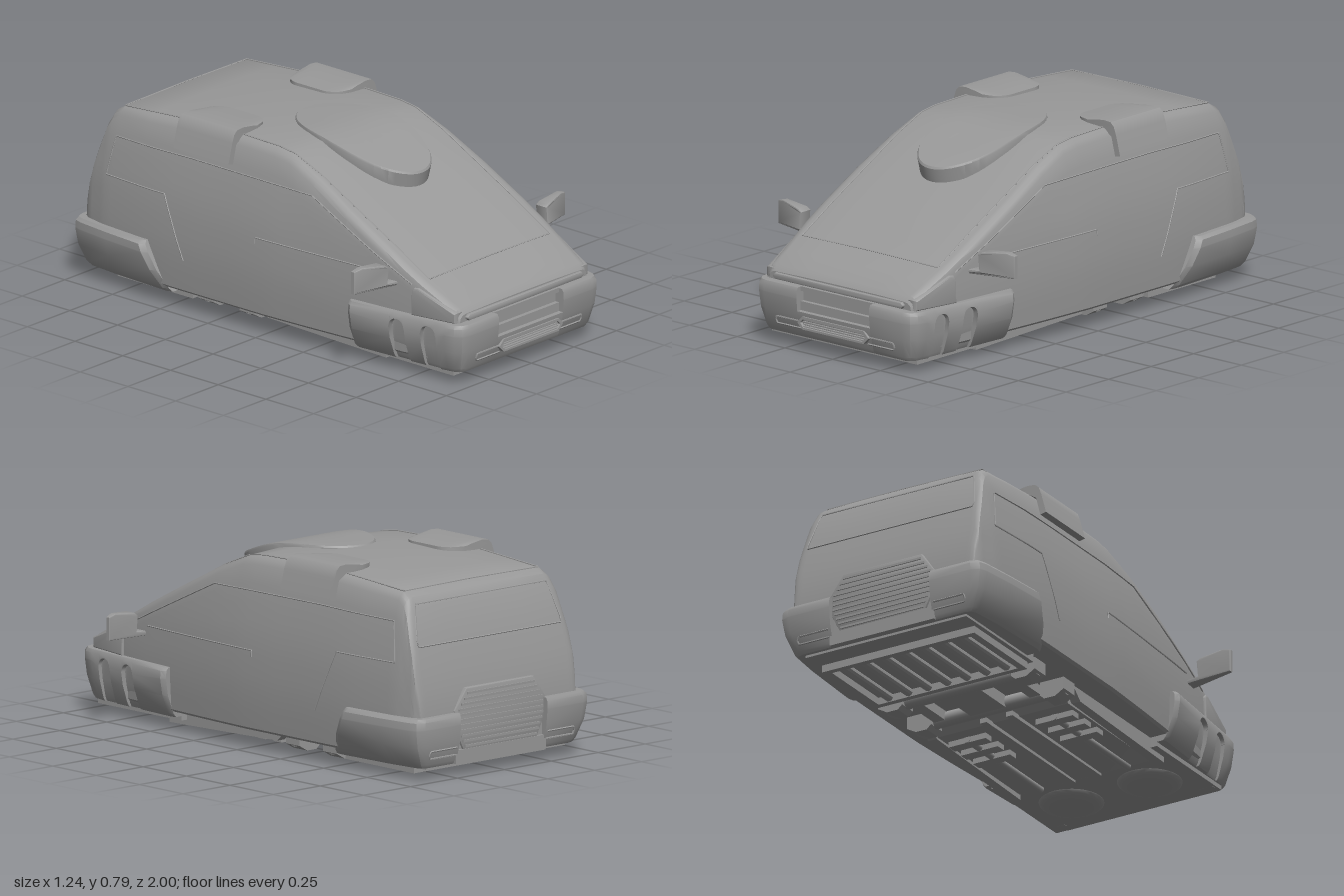
import * as THREE from 'three';
import { toCreasedNormals } from 'three/addons/utils/BufferGeometryUtils.js';

const material = new THREE.MeshStandardMaterial({ color: 0x999999, side: THREE.DoubleSide });

// Linear lookup in an ascending table of [key, value]
function look(table, v) {
  if (v <= table[0][0]) return table[0][1];
  for (let i = 1; i < table.length; i++) {
    const [k0, a] = table[i - 1], [k1, b] = table[i];
    if (v <= k1) return a + (b - a) * (v - k0) / (k1 - k0);
  }
  return table[table.length - 1][1];
}

// Body rules: roof edge height, roof crown and plan taper by z, half width by height
const ROOF = [[-0.968, 0.26], [-0.957, 0.36], [-0.92, 0.52], [-0.868, 0.68], [-0.845, 0.72], [-0.81, 0.741], [-0.48, 0.763],
  [-0.18, 0.77], [0, 0.766], [0.08, 0.755], [0.22, 0.697], [0.6, 0.5], [0.78, 0.4], [0.94, 0.317], [0.957, 0.295]];
const CROWN = [[-0.84, 0.003], [-0.48, 0.012], [0.05, 0.012], [0.3, 0.004]];
const PLAN = [[-0.968, 0.88], [-0.94, 0.92], [-0.85, 0.96], [-0.6, 1], [0, 1], [0.2, 0.98], [0.5, 0.94], [0.75, 0.89], [0.94, 0.83], [0.957, 0.8]];
const SIDE = [[0.05, 0.455], [0.2, 0.465], [0.3, 0.465], [0.45, 0.455], [0.62, 0.426], [0.72, 0.398], [0.79, 0.378]];
const roofY = z => look(ROOF, z);
const sideX = (y, z) => look(SIDE, y) * look(PLAN, z);
const rearZ = y => look(ROOF.slice(0, 6).map(([z, h]) => [h, z]), y);

// Skin between equal rings of Vector3, closed at both ends
function loft(rings) {
  const n = rings[0].length, pos = [], index = [];
  rings.forEach(r => r.forEach(p => pos.push(p.x, p.y, p.z)));
  for (let i = 0; i < rings.length - 1; i++) for (let j = 0; j < n; j++) {
    const a = i * n + j, b = i * n + (j + 1) % n;
    index.push(a, a + n, b, b, a + n, b + n);
  }
  [0, rings.length - 1].forEach((k, end) => {
    const c = new THREE.Vector3(), m = pos.length / 3;
    rings[k].forEach(p => c.addScaledVector(p, 1 / n));
    pos.push(c.x, c.y, c.z);
    for (let j = 0; j < n; j++) {
      const a = k * n + j, b = k * n + (j + 1) % n;
      end ? index.push(m, b, a) : index.push(m, a, b);
    }
  });
  const g = new THREE.BufferGeometry();
  g.setAttribute('position', new THREE.Float32BufferAttribute(pos, 3));
  g.setIndex(index);
  return g;
}

function mirrored(source) {
  const g = source.index ? source.toNonIndexed() : source.clone();
  g.scale(-1, 1, 1);
  const p = g.attributes.position, a = new THREE.Vector3(), b = new THREE.Vector3();
  for (let i = 0; i < p.count; i += 3) {
    a.fromBufferAttribute(p, i + 1); b.fromBufferAttribute(p, i + 2);
    p.setXYZ(i + 1, b.x, b.y, b.z); p.setXYZ(i + 2, a.x, a.y, a.z);
  }
  return g;
}

export function createModel() {
  const model = new THREE.Group();
  const add = (name, geo, crease = 0.6) => {
    const mesh = new THREE.Mesh(toCreasedNormals(geo, crease), material);
    mesh.name = name;
    model.add(mesh);
  };
  const pair = (name, geo) => {
    add(name + 'Left', geo);
    add(name + 'Right', mirrored(geo));
  };
  const V = (x, y, z) => new THREE.Vector3(x, y, z);
  const box = (x, y, z, w, h, d) => new THREE.BoxGeometry(w, h, d).translate(x, y, z);
  const polygon = pts => new THREE.Shape(pts.map(p => new THREE.Vector2(...p)));
  const slab = (pts, z, depth, bevel = 0) => new THREE.ExtrudeGeometry(polygon(pts), {
    depth, bevelEnabled: bevel > 0, bevelSize: bevel, bevelThickness: bevel, bevelOffset: -bevel, bevelSegments: 2 }).translate(0, 0, z);
  const tube = (pts, radius) => {
    const path = new THREE.CurvePath();
    for (let i = 1; i < pts.length; i++) path.add(new THREE.LineCurve3(pts[i - 1], pts[i]));
    return new THREE.TubeGeometry(path, pts.length * 12, radius, 5);
  };

  // Body shell, lofted from nose to tail
  const stations = [...ROOF.map(r => r[0]), 0.86, 0.7, 0.4, 0.14, -0.33, -0.65, -0.9, -0.94].sort((a, b) => b - a);
  add('bodyShell', loft(stations.map(z => {
    const t = roofY(z), b = 0.085, crown = look(CROWN, z), half = [[sideX(b, z) - 0.01, b]];
    for (let i = 0; i <= 9; i++) {
      const y = b + 0.01 + (t - 0.032 - b - 0.01) * i / 9;
      half.push([sideX(y, z), y]);
    }
    const w = sideX(t, z);
    half.push([w - 0.004, t - 0.014], [w - 0.018, t - 0.003], [w - 0.035, t], [w * 0.5, t + crown * 0.75]);
    return [V(0, b, z), ...half.map(p => V(p[0], p[1], z)), V(0, t + crown, z), ...half.reverse().map(p => V(-p[0], p[1], z))];
  })), 0.5);

  // Panel seams lying on the skin
  const alongRoof = [0.78, 0.6, 0.4, 0.22, 0.08, 0, -0.18, -0.48, -0.81].map(z => V(0.355, roofY(z) + 0.001, z));
  pair('roofSeam', tube(alongRoof, 0.003));
  [0.78, -0.81].forEach(z => add('roofCrossSeam', tube([V(-0.355, roofY(z) + 0.001, z), V(0, roofY(z) + look(CROWN, z) + 0.001, z), V(0.355, roofY(z) + 0.001, z)], 0.003)));
  const sideSeam = pts => {
    const fine = [];
    pts.slice(1).forEach(([z, y], k) => {
      for (let s = 0; s < 6; s++) fine.push([pts[k][0] + (z - pts[k][0]) * s / 6, pts[k][1] + (y - pts[k][1]) * s / 6]);
    });
    return tube([...fine, pts[pts.length - 1]].map(([z, y]) => V(sideX(y, z) + 0.001, y, z)), 0.003);
  };
  pair('windowSeam', sideSeam([[0.74, 0.385], [0.22, 0.63], [0, 0.635], [-0.4, 0.637], [-0.81, 0.63], [-0.84, 0.47], [-0.52, 0.47], [-0.41, 0.22]]));
  pair('doorSeam', sideSeam([[0.6, 0.405], [0.3, 0.405], [-0.04, 0.405], [-0.04, 0.38]]));
  const rearOutline = [[-0.35, 0.695], [0.35, 0.695], [0.385, 0.535], [-0.385, 0.535], [-0.35, 0.695]];
  add('rearWindowSeam', tube(rearOutline.map(([x, y]) => V(x, y, rearZ(y) - 0.002)), 0.003));

  // Bumper corners: a profile swept round the body; path = [outer x, outer z, inner x, inner z, groove depth, groove top]
  const profile = [[0, 0.06], [0.5, 0.06], [0.62, 0.075], [0.9, 0.15], [1, 0.205], [1, 0.235], [0.98, 0.25], [0.88, 0.263], [0, 0.265]];
  const bumper = (path, shear = 0) => loft(path.map(([xo, zo, xi, zi, groove = 0, top = 0.22], k) => profile.map(([t, y0], j) => {
    const s = j < 5 ? t * (1 - groove) : t, y = j === 4 ? top - 0.002 : j === 5 ? top + 0.002 : y0;
    return V(xi + (xo - xi) * s, y, zi + (zo - zi) * s + (k < 2 ? shear * (0.265 - y) : 0));
  })));
  const front = [[0.19, 1, 0.19, 0.93], [0.36, 1, 0.34, 0.93], [0.395, 0.99, 0.345, 0.92], [0.415, 0.965, 0.345, 0.91], [0.425, 0.92, 0.345, 0.9]];
  const flank = (z, groove, top) => front.push([0.425 + (0.9 - z) * 0.115, z, 0.355, z, groove, top]);
  [0.84, 0.69].forEach(c => {
    flank(c + 0.037, 0, 0.205);
    for (let i = 0; i <= 8; i++) {
      const a = Math.PI * i / 8;
      flank(c + 0.035 * Math.cos(a), 0.22, 0.205 + 0.033 * Math.sin(a));
    }
    flank(c - 0.037, 0, 0.205);
  });
  flank(0.47, 0);
  front.push([0.462, 0.45, 0.355, 0.45]);
  pair('frontBumper', bumper(front));
  pair('rearBumper', bumper([[0.485, -0.6, 0.37, -0.6], [0.5, -0.625, 0.37, -0.63], [0.485, -0.8, 0.36, -0.8], [0.467, -0.95, 0.35, -0.92],
    [0.455, -0.985, 0.34, -0.93], [0.42, -1, 0.33, -0.93], [0.23, -1, 0.23, -0.93]], 0.5));

  // Front fascia: lower bar, recess, ribbed intake and light strip
  add('frontLowerBar', loft([-0.19, 0.19].map(x => [...profile.slice(0, 4), [0.93, 0.168], [0, 0.17]].map(([t, y]) => V(x, y, 0.93 + 0.07 * t)))));
  add('frontRecess', box(0, 0.215, 0.93, 0.4, 0.1, 0.03));
  add('frontRecessShelf', box(0, 0.186, 0.945, 0.38, 0.038, 0.06));
  add('frontRecessLip', box(0, 0.256, 0.945, 0.38, 0.018, 0.06));
  const hexagon = (w, y0, y1, cut) => [[-w + cut, y0], [w - cut, y0], [w, y0 + cut], [w, y1 - cut], [w - cut, y1], [-w + cut, y1], [-w, y1 - cut], [-w, y0 + cut]];
  const slot = (x0, x1, side) => tube([[x0, 0.098, 0.981], [x1, 0.098, 0.981], [x1 + 0.005, 0.113, 0.985], [x1, 0.128, 0.988], [x0, 0.128, 0.988]]
    .map(([x, y, z]) => V(x, y, side * z)), 0.004);
  pair('frontSlot', slot(0.17, 0.305, 1));
  pair('rearSlot', slot(0.24, 0.38, -1));
  const intake = polygon(hexagon(0.185, 0.1, 0.152, 0.024));
  intake.holes.push(polygon(hexagon(0.17, 0.108, 0.144, 0.016)));
  add('frontIntakeFrame', new THREE.ExtrudeGeometry(intake, { depth: 0.03, bevelEnabled: false }).translate(0, 0, 0.97));
  for (let i = 0; i < 4; i++) add('frontIntakeRib', box(0, 0.112 + i * 0.0095, 0.987, 0.32, 0.004, 0.018));
  add('frontLightStrip', slab(hexagon(0.34, 0.268, 0.293, 0.01), 0.945, 0.022, 0.005));

  // Headlight cowls wrapping the nose corners
  const cowl = slab([[-0.95, 0.262], [-0.745, 0.262], [-0.745, 0.36], [-0.755, 0.374], [-0.775, 0.376], [-0.95, 0.305]], -0.03, 0.03, 0.006).rotateY(Math.PI / 2);
  const cp = cowl.attributes.position;
  for (let i = 0; i < cp.count; i++) cp.setX(i, cp.getX(i) + sideX(cp.getY(i), cp.getZ(i)) + 0.004);
  pair('headlightCowl', cowl);

  // Rear fascia: lower bar and louvred vent
  add('rearLowerBar', box(0, 0.087, -0.95, 0.48, 0.054, 0.06));
  add('rearVent', slab([[-0.19, 0.1], [0.19, 0.1], [0.24, 0.2], [0.24, 0.27], [0.18, 0.355], [-0.18, 0.355], [-0.24, 0.27], [-0.24, 0.2]], -0.972, 0.05, 0.005));
  for (let i = 0; i < 11; i++) {
    const y = 0.125 + i * 0.021;
    add('rearVentLouvre', box(0, y, -0.975, 2 * look([[0.1, 0.18], [0.2, 0.225], [0.27, 0.225], [0.355, 0.165]], y), 0.009, 0.014));
  }

  // Oval roof pod, its lid bending with the windscreen
  const pod = new THREE.LatheGeometry([[0.96, -0.09], [1, -0.01], [0.985, 0], [0.8, 0.002], [0.6, 0.002], [0.4, 0.002], [0.2, 0.002], [0, 0.002]]
    .map(p => new THREE.Vector2(...p)), 56);
  const pp = pod.attributes.position;
  for (let i = 0; i < pp.count; i++) {
    const z = 0.12 + 0.31 * pp.getZ(i), d = Math.max(0, z + 0.02);
    const lid = 0.788 - Math.min(d * d * 0.75, 0.04) - Math.max(0, d - 0.23) * 0.345;
    pp.setXYZ(i, 0.2 * pp.getX(i), lid + pp.getY(i) * 0.75, z);
  }
  add('roofPod', pod);

  // Roof pads folded over the cant rails, inner corners rounded in plan
  const pad = new THREE.ExtrudeGeometry(polygon([[0.19, 0.765], [0.192, 0.786], [0.25, 0.792], [0.36, 0.8], [0.395, 0.797], [0.412, 0.782], [0.424, 0.75],
    [0.446, 0.668], [0.42, 0.662], [0.4, 0.74], [0.36, 0.765]]), { depth: 0.29, steps: 24, bevelEnabled: false }).translate(0, 0, -0.48);
  const qp = pad.attributes.position;
  for (let i = 0; i < qp.count; i++) {
    const e = Math.max(0, Math.abs(qp.getZ(i) + 0.335) - 0.065) / 0.08, x = qp.getX(i);
    if (x < 0.36) qp.setX(i, 0.36 - (0.36 - x) * (0.5 + 0.5 * Math.sqrt(Math.max(0, 1 - e * e))));
  }
  pair('roofPad', pad);

  // Door mirrors, swept thin towards the tip
  const mirror = slab([[0.39, 0.363], [0.62, 0.37], [0.62, 0.462], [0.585, 0.472], [0.48, 0.462], [0.462, 0.45], [0.468, 0.385], [0.39, 0.38]], 0.01, 0.05, 0.006);
  const mp = mirror.attributes.position;
  for (let i = 0; i < mp.count; i++) mp.setZ(i, 0.605 + mp.getZ(i) * look([[0.4, 1], [0.5, 0.9], [0.62, 0.3]], mp.getX(i)));
  pair('doorMirror', mirror);

  // Underside: nose plate, lift discs, floor tray and rails
  add('nosePlate', box(0, 0.067, 0.69, 0.76, 0.05, 0.48));
  pair('liftDisc', new THREE.SphereGeometry(0.13, 32, 16).scale(1, 0.28, 1).translate(0.18, 0.045, 0.72));
  pair('noseSkid', new THREE.CylinderGeometry(0.025, 0.025, 0.06, 14).rotateZ(Math.PI / 2).translate(0.34, 0.065, 0.885));
  add('floorTray', slab([[-0.56, 0.09], [-0.56, 0.045], [-0.53, 0.03], [0.08, 0.035], [0.14, 0.09]], -0.3, 0.6).rotateY(Math.PI / 2));
  pair('floorRail', slab([[-0.55, 0.09], [-0.55, 0.018], [-0.1, 0.03], [0.07, 0.035], [0.13, 0.09]], 0.31, 0.04).rotateY(Math.PI / 2));
  pair('floorSpine', box(0.06, 0.03, 0.2, 0.03, 0.02, 0.66));
  [0.18, 0, 0.09].forEach(z => pair('floorBracket', box(0.2, 0.024, z, 0.17, 0.026, 0.045)));
  pair('floorPipe', new THREE.CylinderGeometry(0.015, 0.015, 0.55, 12).rotateX(Math.PI / 2).translate(0.2, 0.025, 0.25));

  // Underside: axle beams with hub blocks
  [-0.17, -0.385].forEach(z => {
    add('axleBeam', new THREE.CylinderGeometry(0.03, 0.03, 0.7, 16).rotateZ(Math.PI / 2).translate(0, 0.055, z));
    pair('axleHub', slab([[0.25, 0.03], [0.27, 0.012], [0.32, 0.012], [0.36, 0.035], [0.36, 0.09], [0.25, 0.09]], z - 0.04, 0.08));
  });
  add('axleLink', box(0, 0.055, -0.28, 0.16, 0.05, 0.18));
  pair('axleArm', box(0.22, 0.06, -0.28, 0.05, 0.04, 0.2));

  // Underside: ribbed rear grate
  add('rearPlate', box(0, 0.07, -0.7, 0.74, 0.04, 0.5));
  pair('grateSide', box(0.335, 0.04, -0.66, 0.03, 0.04, 0.38));
  [-0.475, -0.845].forEach(z => add('grateEnd', box(0, 0.04, z, 0.7, 0.04, 0.025)));
  for (let i = -3; i <= 3; i++) add('grateRib', new THREE.CylinderGeometry(0.018, 0.018, 0.36, 10).rotateX(Math.PI / 2).translate(i * 0.09, 0.04, -0.66));
  return model;
}
